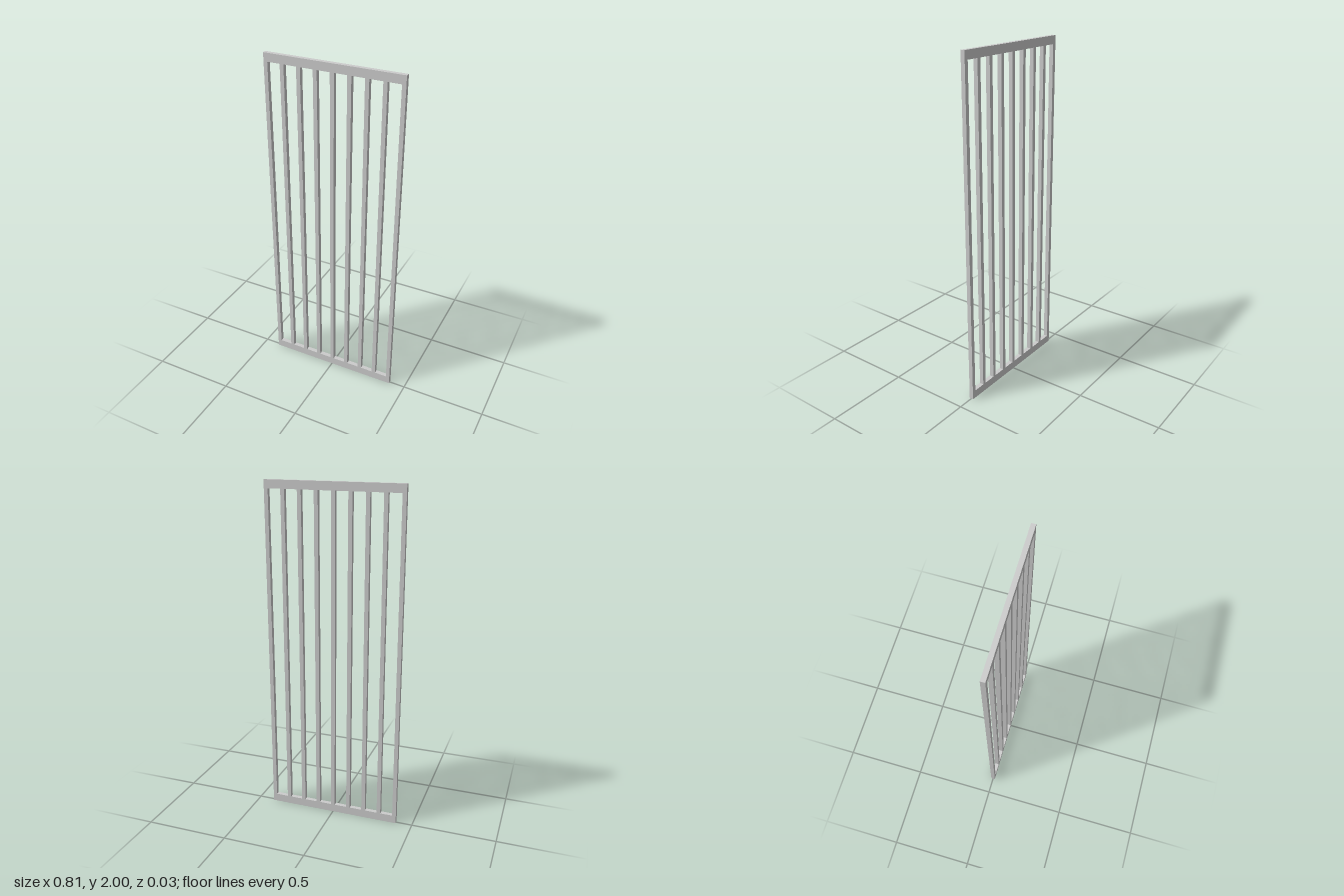
import * as THREE from 'three';

const WIDTH = 0.805, HEIGHT = 2, DEPTH = 0.025;
const RAIL = 0.048, BAR = 0.023, BARS = 9;

export function createModel() {
  const group = new THREE.Group();
  group.name = 'barredPanel';
  const material = new THREE.MeshStandardMaterial({ color: 0xcccccc });

  function addBox(name, width, height, x, y) {
    const mesh = new THREE.Mesh(new THREE.BoxGeometry(width, height, DEPTH), material);
    mesh.name = name;
    mesh.position.set(x, y, 0);
    group.add(mesh);
  }

  // Horizontal rails
  addBox('bottomRail', WIDTH, RAIL, 0, RAIL / 2);
  addBox('topRail', WIDTH, RAIL, 0, HEIGHT - RAIL / 2);

  // Evenly spaced upright bars, the outer two flush with the rail ends
  const span = WIDTH - BAR;
  for (let i = 0; i < BARS; i++) {
    addBox(`bar${i + 1}`, BAR, HEIGHT - 2 * RAIL, -span / 2 + (span * i) / (BARS - 1), HEIGHT / 2);
  }

  return group;
}
